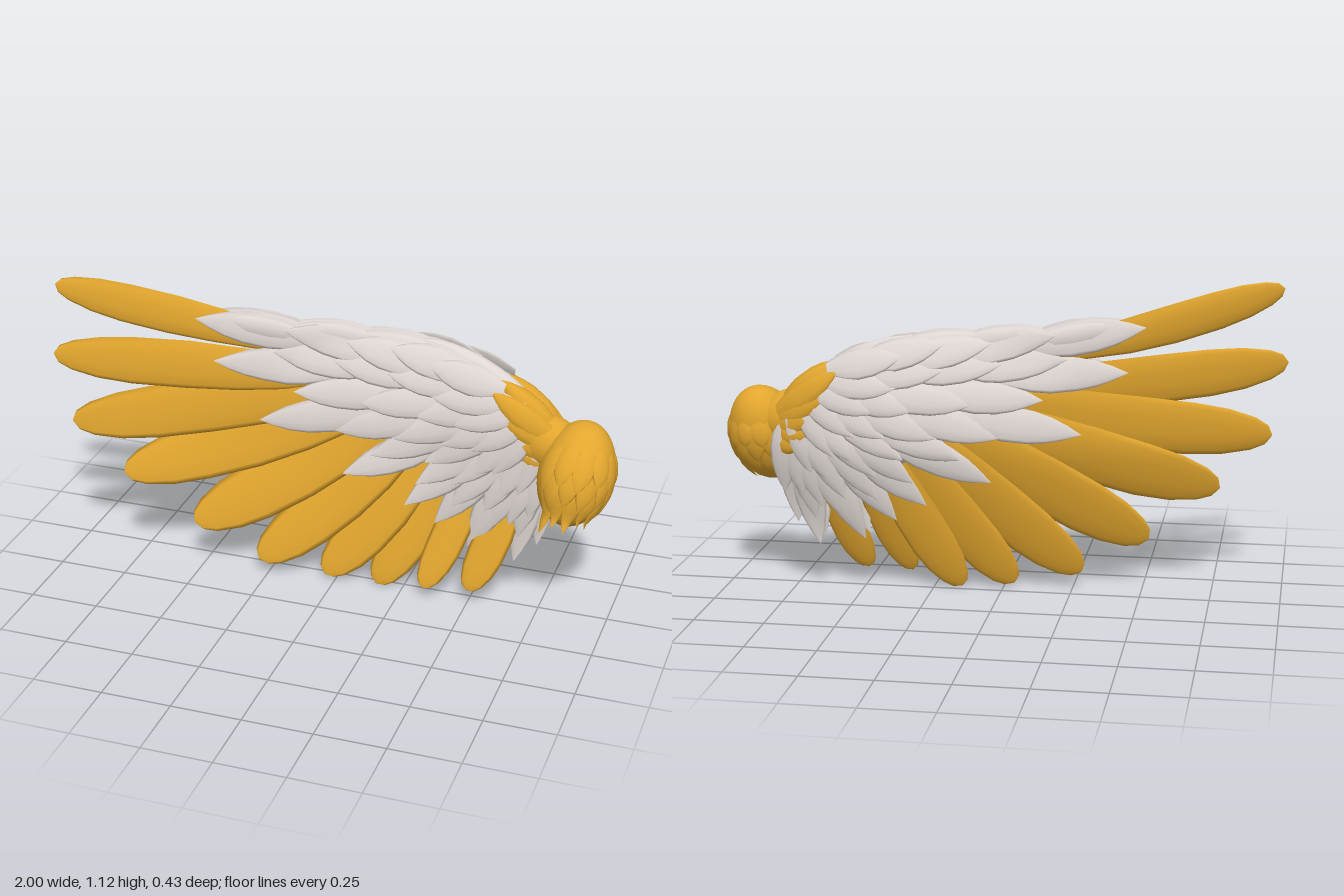
import * as THREE from 'three';

const ochre = new THREE.MeshStandardMaterial({ color: 0xe2a62e });
ochre.name = 'ochre';
const paleGrey = new THREE.MeshStandardMaterial({ color: 0xded6d2 });
paleGrey.name = 'pale grey';

// Width along a feather, as [position, half-width factor]
const FLIGHT = [[0, 0.4], [0.12, 0.68], [0.3, 0.9], [0.5, 1], [0.7, 0.98], [0.83, 0.86], [0.93, 0.62], [0.98, 0.36], [1, 0.02]];
const COVERT = [[0, 0.4], [0.1, 0.6], [0.25, 0.88], [0.4, 1], [0.6, 0.93], [0.75, 0.72], [0.88, 0.4], [1, 0.01]];

// Middle surface of the wing: depth for each point of its outline plane
const SPINE = [[-1, 0.205], [-0.5, 0.038], [0, -0.06], [0.35, -0.095], [0.7, -0.075], [1, -0.04]];
function midZ(x, y) {
  let i = 0;
  while (i < SPINE.length - 2 && x > SPINE[i + 1][0]) i++;
  const [[x0, z0], [x1, z1]] = [SPINE[i], SPINE[i + 1]];
  const slope = 0.18 - 0.08 * THREE.MathUtils.smoothstep(x, 0.2, 0.6);
  return z0 + (z1 - z0) * (x - x0) / (x1 - x0) + slope * Math.max(0, 0.55 - y);
}

// Half-thickness of the fleshy part of the wing
function halfDepth(x, y) {
  const dx = (x - 0.38) / (x > 0.38 ? 0.47 : 0.7), dy = (y - 0.66) / (y > 0.66 ? 0.32 : 0.5);
  return 0.02 + 0.062 * Math.max(0, 1 - dx * dx - dy * dy);
}

// Lays a feather on the front (1), back (-1) or middle (0) of the wing
const onWing = (side, layer, roll) => (x, y, k, t, s) => {
  const lift = side * (halfDepth(x, y) + layer * 0.006 + t * 0.012);
  return [x, y, midZ(x, y) + lift + k + roll * s];
};

// Lays a feather around the shoulder ball, in the ball's own frame; x is arc length
const BALL = { rx: 0.13, ry: 0.188, rz: 0.125 };
const onBall = (arc, y, k, t) => {
  const a = arc / 0.14, q = y / BALL.ry;
  let f = Math.sqrt(Math.max(0, 1 - q * q));
  if (q < 0) f = Math.max(0.6, f);
  const r = k - 0.007 + 0.016 * t;
  return [Math.cos(a) * (BALL.rx * f + r), y, -Math.sin(a) * (BALL.rz * f + r)];
};

// Feather: lens-shaped rings from root to tip, bent onto a surface
function feather(name, root, tip, halfWidth, thick, profile, material, place, bow = 0) {
  const N = 10, pos = [], index = [];
  const dx = tip[0] - root[0], dy = tip[1] - root[1], len = Math.hypot(dx, dy);
  const px = -dy / len, py = dx / len;
  profile.forEach(([t, w], i) => {
    const b = bow * Math.sin(Math.PI * t);
    for (let j = 0; j < N; j++) {
      const a = j / N * Math.PI * 2;
      const s = Math.cos(a) * halfWidth * w, k = Math.sin(a) * thick * w;
      pos.push(...place(root[0] + dx * t + px * (s + b), root[1] + dy * t + py * (s + b), k, t, s));
      if (i < profile.length - 1) {
        const p = i * N + j, q = i * N + (j + 1) % N;
        index.push(p, q, p + N, q, q + N, p + N);
      }
    }
  });
  const g = new THREE.BufferGeometry();
  g.setAttribute('position', new THREE.Float32BufferAttribute(pos, 3));
  g.setIndex(index);
  g.computeVertexNormals();
  const mesh = new THREE.Mesh(g, material);
  mesh.name = name;
  return mesh;
}

function ellipsoid(name, material, centre, radii, tilt = 0) {
  const mesh = new THREE.Mesh(new THREE.SphereGeometry(1, 32, 24), material);
  mesh.name = name;
  mesh.position.set(...centre);
  mesh.scale.set(...radii);
  mesh.rotation.z = tilt;
  return mesh;
}

export function createModel() {
  const wing = new THREE.Group();
  wing.name = 'wing';
  const section = (name) => {
    const g = new THREE.Group();
    g.name = name;
    wing.add(g);
    return g;
  };

  // Fleshy core under the coverts, bent along the wing
  const core = new THREE.SphereGeometry(1, 32, 24);
  const p = core.attributes.position;
  for (let i = 0; i < p.count; i++) {
    const x = 0.43 + 0.35 * p.getX(i), y = 0.69 + 0.24 * p.getY(i) - 0.1 * p.getX(i);
    p.setXYZ(i, x, y, midZ(x, y) + 0.075 * p.getZ(i));
  }
  core.computeVertexNormals();
  const coreMesh = new THREE.Mesh(core, paleGrey);
  coreMesh.name = 'wingCore';
  wing.add(coreMesh);

  // Long flight feathers: root, tip, half-width
  const flight = section('flightFeathers');
  [
    [[-0.2, 0.89], [-0.98, 1.1], 0.07],
    [[-0.1, 0.77], [-1, 0.835], 0.088],
    [[0, 0.72], [-0.95, 0.57], 0.1],
    [[0.12, 0.68], [-0.77, 0.375], 0.106],
    [[0.2, 0.65], [-0.52, 0.185], 0.108],
    [[0.28, 0.61], [-0.28, 0.06], 0.1],
    [[0.36, 0.58], [-0.04, 0.02], 0.092],
    [[0.43, 0.56], [0.15, 0.005], 0.085],
    [[0.5, 0.54], [0.34, 0.045], 0.066],
    [[0.64, 0.5], [0.5, 0.055], 0.068],
  ].forEach(([root, tip, w], i) => {
    const lay = onWing(0, 0, 0.12);
    const forward = i > 7 ? 0.085 : 0.005;
    const place = (x, y, k, t, s) => {
      const v = lay(x, y, k, t, s);
      v[2] += forward * t;
      return v;
    };
    flight.add(feather('flightFeather', root, tip, w, 0.016, FLIGHT, ochre, place, 0.012));
  });

  // Overlapping grey coverts, longest first, on both sides of the wing
  const focus = [0.75, 0.8];
  const rows = [
    { length: 0.44, width: 0.062, tips: [[-0.51, 0.98], [-0.45, 0.82], [-0.29, 0.6], [0.02, 0.43], [0.25, 0.34], [0.36, 0.28], [0.48, 0.2], [0.65, 0.17], [0.73, 0.25]] },
    { length: 0.38, width: 0.058, tips: [[-0.2, 0.955], [-0.24, 0.87], [-0.16, 0.73], [-0.02, 0.6], [0.12, 0.52], [0.29, 0.43], [0.42, 0.36], [0.55, 0.28], [0.66, 0.27]] },
    { length: 0.34, width: 0.056, tips: [[0.02, 0.93], [-0.02, 0.86], [0.08, 0.72], [0.2, 0.6], [0.32, 0.52], [0.42, 0.45], [0.54, 0.36], [0.63, 0.32]] },
    { length: 0.3, width: 0.054, tips: [[0.18, 0.93], [0.18, 0.84], [0.28, 0.7], [0.38, 0.6], [0.49, 0.5], [0.59, 0.42], [0.7, 0.36]] },
    { length: 0.28, width: 0.052, tips: [[0.32, 0.89], [0.34, 0.78], [0.41, 0.69], [0.49, 0.6], [0.57, 0.52], [0.66, 0.45], [0.77, 0.37]] },
  ];
  for (const side of [1, -1]) {
    const coverts = section(side > 0 ? 'frontCoverts' : 'backCoverts');
    rows.forEach(({ length, width, tips }, layer) => tips.forEach((tip) => {
      const dx = focus[0] - tip[0], dy = focus[1] - tip[1], d = Math.hypot(dx, dy);
      const f = Math.min(length, d * 0.8) / d;
      const root = [tip[0] + dx * f, tip[1] + dy * f];
      coverts.add(feather('covert', root, tip, width, 0.013, COVERT, paleGrey, onWing(side, layer, 0.18 * side)));
    }));
  }

  // Feathers closing the leading edge, and ochre tufts where it meets the neck
  const edge = section('leadingEdge');
  for (const side of [0.5, -0.5]) {
    [[[-0.1, 0.92], [-0.48, 0.985]], [[0.15, 0.92], [-0.2, 0.96]], [[0.35, 0.91], [0, 0.94]],
      [[0.5, 0.85], [0.17, 0.94]], [[0.64, 0.76], [0.34, 0.92]]].forEach(([root, tip]) =>
      edge.add(feather('edgeFeather', root, tip, 0.05, 0.03, COVERT, paleGrey, onWing(side, 0, 0))));
    edge.add(feather('neckTuft', [0.78, 0.67], [0.565, 0.85], 0.05, 0.04, COVERT, ochre, onWing(side, 0, 0)));
  }

  // Ochre neck and its jagged collar
  wing.add(ellipsoid('neck', ochre, [0.75, 0.635, -0.055], [0.135, 0.1, 0.085], -0.4));
  const collar = section('collar');
  for (const side of [1, -1]) {
    [[0.55, 0.83], [0.59, 0.75], [0.63, 0.67], [0.66, 0.6], [0.7, 0.54]].forEach((tip, i) =>
      collar.add(feather('collarFeather', [0.8, 0.65 - i * 0.02], tip, 0.045, 0.018, COVERT, ochre, onWing(side, 3.5, 0.15 * side))));
  }

  // Shoulder ball, leaning so that its hem of short feathers is lowest at the front
  const shoulder = section('shoulder');
  shoulder.position.set(0.86, 0.562, 0);
  shoulder.rotation.set(-0.4, 0, -0.15);
  shoulder.add(ellipsoid('shoulderBall', ochre, [0, 0, 0], [BALL.rx, BALL.ry, BALL.rz]));
  for (let row = 0; row < 3; row++) {
    for (let i = 0; i < 9; i++) {
      const a = -2.2 + (i + (row % 2) * 0.5) * 0.5;
      const y = -0.175 + row * 0.075 + (i % 2) * 0.02 + 0.025 * a;
      shoulder.add(feather('shoulderFeather', [a * 0.14, Math.min(0.12, y + 0.19)], [a * 0.14 - 0.01, y], 0.045, 0.008, COVERT, ochre, onBall));
    }
  }
  return wing;
}
